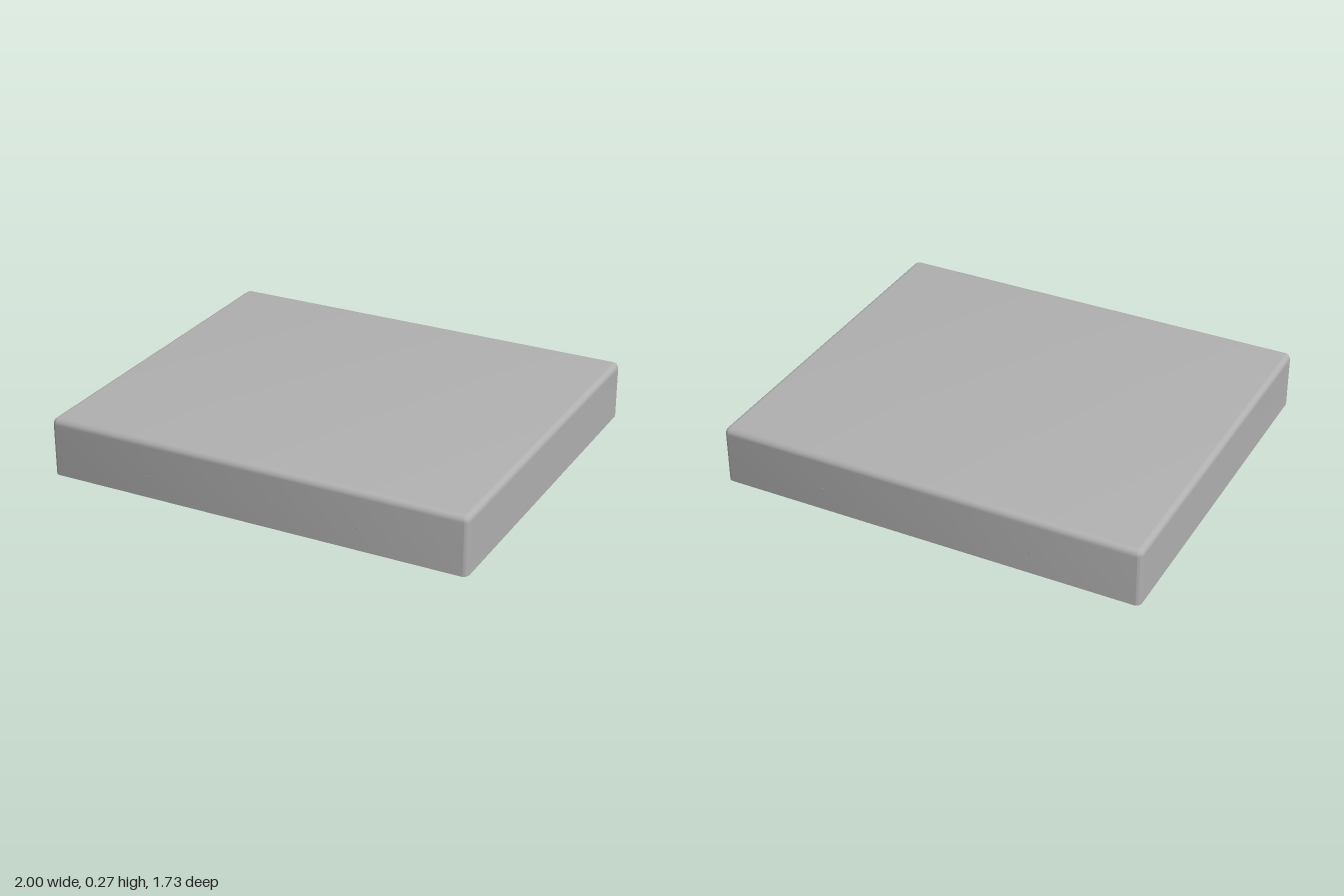
import * as THREE from 'three';
import { toCreasedNormals } from 'three/addons/utils/BufferGeometryUtils.js';

const W = 1, D = 0.866;      // half width and half depth
const H = 0.272, R = 0.027;  // height and fillet radius
const T = 0.027;             // wall thickness
const CEILING = 0.21;        // underside of the honeycomb plate

// Rounded rectangle outline, centred on the origin
function outline(Target, w, d, r) {
  const s = new Target();
  s.absarc(w - r, d - r, r, 0, Math.PI / 2);
  s.absarc(-w + r, d - r, r, Math.PI / 2, Math.PI);
  s.absarc(-w + r, -d + r, r, Math.PI, Math.PI * 1.5);
  s.absarc(w - r, -d + r, r, Math.PI * 1.5, Math.PI * 2);
  s.closePath();
  return s;
}

// Extrude a flat outline upwards from height y
function extrudeUp(shape, y, depth, bevel = {}) {
  const g = new THREE.ExtrudeGeometry(shape, { depth, curveSegments: 6, bevelEnabled: false, ...bevel });
  g.rotateX(-Math.PI / 2);
  g.translate(0, y, 0);
  return g;
}

export function createModel() {
  const model = new THREE.Group();
  const grey = new THREE.MeshStandardMaterial({ color: 0xb0b0b0 });
  grey.name = 'grey plastic';
  const add = (name, geometry) => {
    const mesh = new THREE.Mesh(geometry, grey);
    mesh.name = name;
    model.add(mesh);
    return mesh;
  };

  // Side walls, open at the bottom
  const wall = outline(THREE.Shape, W, D, R);
  wall.holes.push(outline(THREE.Path, W - T, D - T, R));
  add('sideWalls', toCreasedNormals(extrudeUp(wall, 0, H - R), 0.6));

  // Top panel with a filleted upper edge and a flat underside
  const top = extrudeUp(outline(THREE.Shape, W - R, D - R, 0.002), H - R - 0.004, 0.004, {
    bevelEnabled: true, bevelThickness: R, bevelSize: R, bevelSegments: 5,
  });
  const pos = top.attributes.position;
  for (let i = 0; i < pos.count; i++) pos.setY(i, Math.max(pos.getY(i), H - R - 0.004));
  add('topPanel', toCreasedNormals(top, 0.6));

  // Honeycomb plate under the top, its cells trimmed to a rectangle
  const plate = outline(THREE.Shape, W - T, D - T, R);
  const pitch = 0.21, cell = 0.098;
  for (let row = -3; row <= 3; row++) {
    const count = row % 2 ? 7 : 8;
    for (let i = 0; i < count; i++) {
      const cx = (i - (count - 1) / 2) * pitch;
      const cy = row * pitch * Math.sqrt(3) / 2;
      const points = [];
      for (let k = 0; k < 6; k++) {
        const a = Math.PI / 6 + k * Math.PI / 3;
        points.push(new THREE.Vector2(
          THREE.MathUtils.clamp(cx + cell * Math.cos(a), -0.75, 0.75),
          THREE.MathUtils.clamp(cy + cell * Math.sin(a), -0.6, 0.6)));
      }
      plate.holes.push(new THREE.Path(points));
    }
  }
  add('honeycombPlate', toCreasedNormals(extrudeUp(plate, CEILING, H - R - CEILING), 0.6));

  // Snap bumps on the inside of the front and back walls
  const bump = new THREE.SphereGeometry(T + 0.001, 20, 14);
  for (const x of [-0.5, 0.5]) {
    for (const side of [-1, 1]) {
      add('snapBump', bump).position.set(x, 0.105, side * (D - T));
    }
  }
  return model;
}
